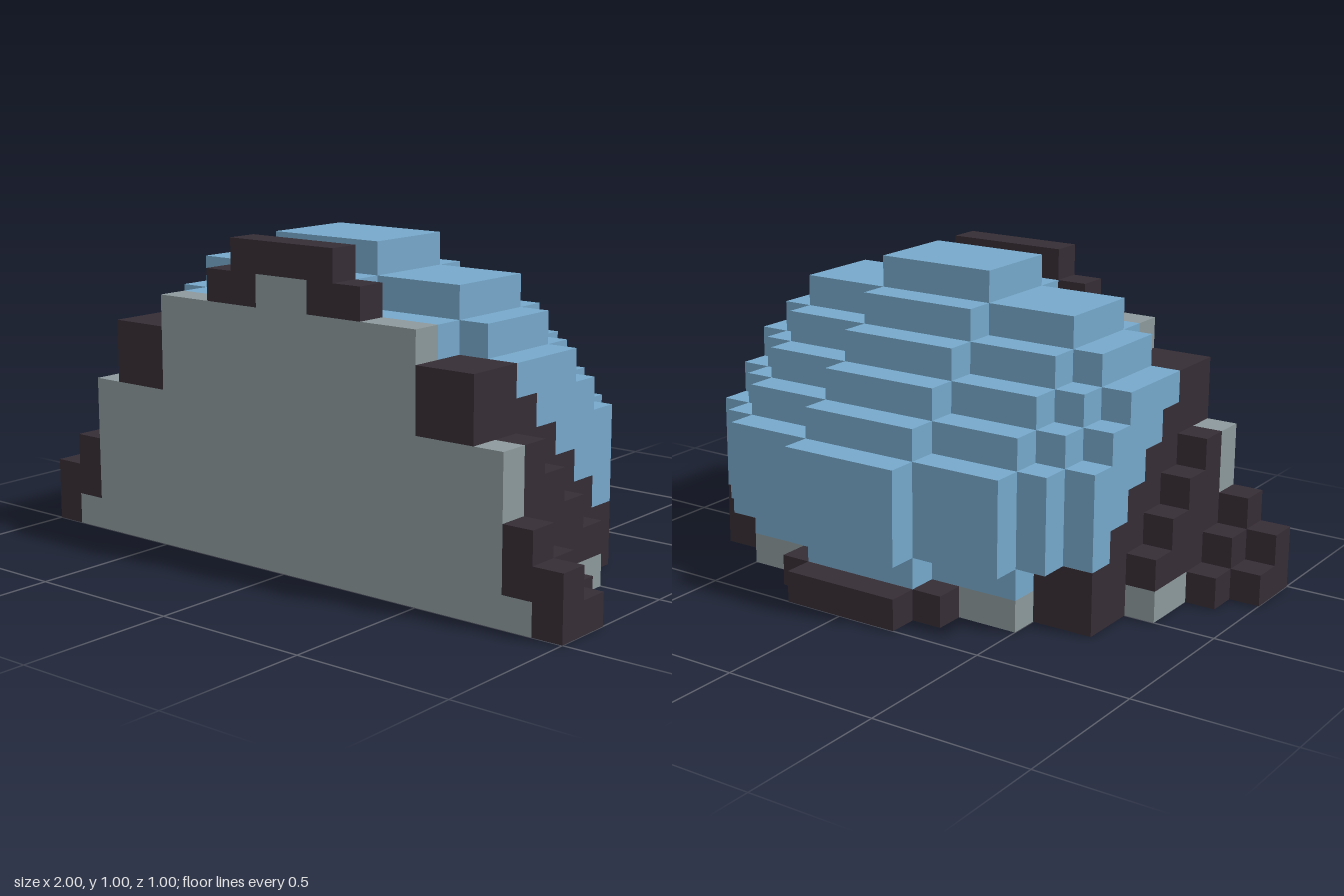
import * as THREE from 'three';

const CELL = 0.1;
const shell = new THREE.MeshStandardMaterial({ color: 0x8c999c });
shell.name = 'greyPlate';
const trim = new THREE.MeshStandardMaterial({ color: 0x362d35 });
trim.name = 'darkTrim';
const dome = new THREE.MeshStandardMaterial({ color: 0x76a8ca });
dome.name = 'blueDome';

// Block in whole cells: x outward from the middle, u up from the base, v back from the front.
// A block that starts at x = 0 spans the middle; any other is mirrored to both sides.
function block(parent, name, material, [x0, x1], [u0, u1], [v0, v1]) {
  const width = x0 === 0 ? 2 * x1 : x1 - x0;
  const geometry = new THREE.BoxGeometry(width * CELL, (u1 - u0) * CELL, (v1 - v0) * CELL);
  for (const side of x0 === 0 ? [0] : [-1, 1]) {
    const mesh = new THREE.Mesh(geometry, material);
    mesh.name = name;
    mesh.position.set(side * (x0 + x1) / 2 * CELL, (u0 + u1) / 2 * CELL, (5 - (v0 + v1) / 2) * CELL);
    parent.add(mesh);
  }
}

function group(parent, name) {
  const g = new THREE.Group();
  g.name = name;
  parent.add(g);
  return g;
}

export function createModel() {
  const model = new THREE.Group();
  model.name = 'voxelDome';

  // Two matching plates, upright at the front and flat on the base: [material, x range, reach]
  const plate = [
    [shell, [0, 5], [0, 8]],
    [shell, [5, 8], [0, 5]],
    [shell, [8, 9], [0, 1]],
    [shell, [0, 1], [8, 9]],
    [trim, [1, 3], [8, 9]],
    [trim, [0, 2], [9, 10]],
    [trim, [5, 7], [5, 7]],
    [trim, [8, 9], [1, 3]],
    [trim, [9, 10], [0, 2]],
  ];
  const front = group(model, 'frontPlate');
  const base = group(model, 'basePlate');
  for (const [material, x, [from, to]] of plate) {
    const name = material === shell ? 'Panel' : 'Trim';
    block(front, 'front' + name, material, x, [from, to], [0, 1]);
    if (to > 1) block(base, 'base' + name, material, x, [0, 1], [Math.max(from, 1), to]);
  }

  // Stepped brackets between the plates: [x range, diagonal limit]
  const brackets = group(model, 'sideBrackets');
  for (const [x, limit] of [[[5, 7], 7], [[7, 8], 5], [[8, 9], 2]]) {
    for (let u = 1; u < limit; u++) {
      block(brackets, 'bracketStep', trim, x, [u, u + 1], [1, limit - u + 1]);
    }
  }

  // Dome facing up and back, shrinking one cell per layer towards the sides
  const domeGroup = group(model, 'dome');
  [[0, 2], [2, 5], [5, 6], [6, 7]].forEach((x, k) => {
    const max = 9 - k;
    for (let u = 1; u <= max; u++) {
      let from = u === max ? 2 : 1;
      if (x[0] >= 5) from = Math.max(from, 8 - u);
      const to = Math.min(u === 1 ? max - 1 : max, 13 - k - u);
      if (to >= from) block(domeGroup, 'domeStep', dome, x, [u, u + 1], [from, to + 1]);
    }
  });

  return model;
}
